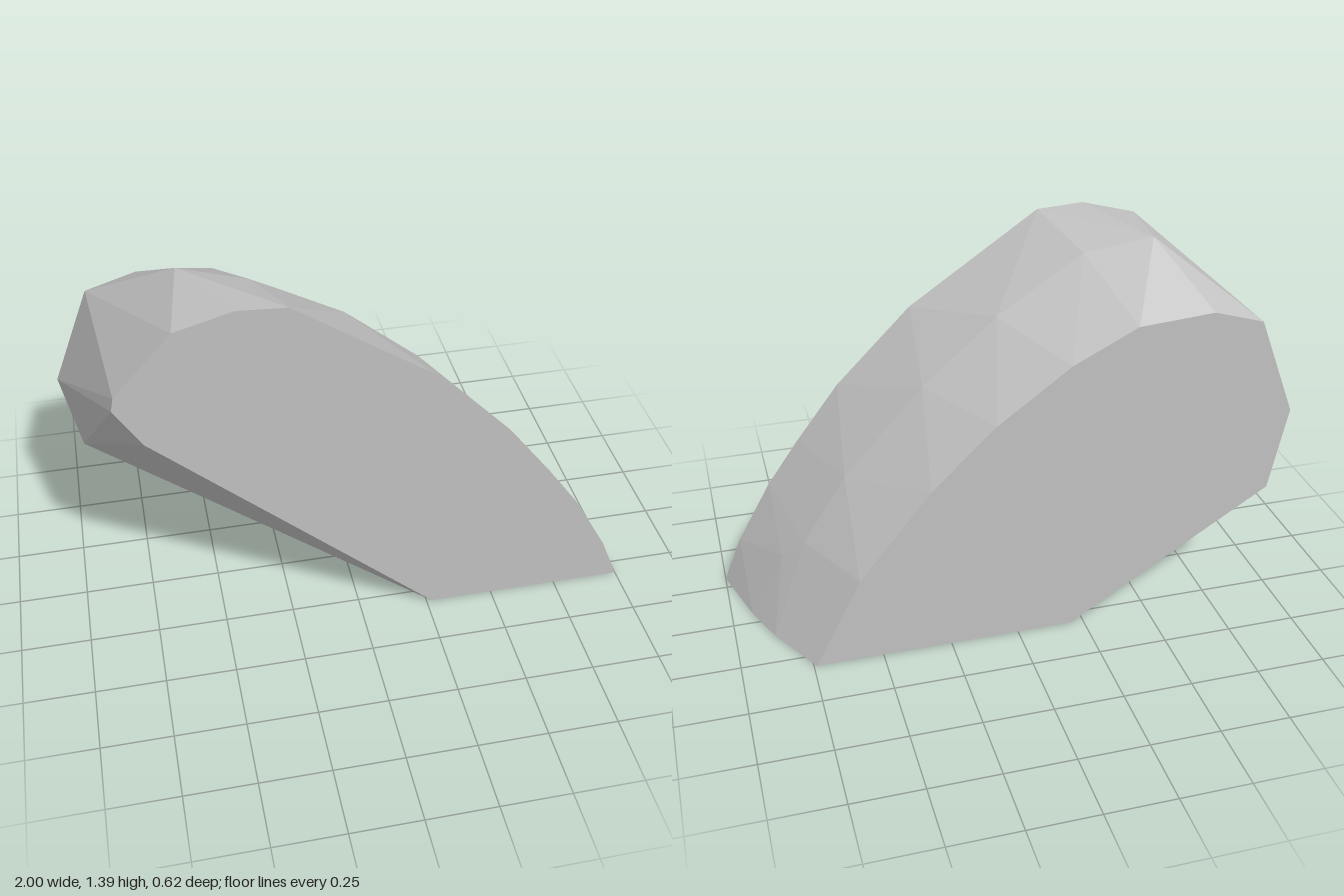
import * as THREE from 'three';
import { ConvexGeometry } from 'three/addons/geometries/ConvexGeometry.js';

export function createModel() {
  const group = new THREE.Group();
  group.name = 'rockChunk';
  const stone = new THREE.MeshStandardMaterial({ color: 0xc0c0c0 });
  stone.name = 'pale grey stone';

  // Flat front cut
  const front = [
    [0.27, 0], [1, 0], [0.93, 0.17], [0.8, 0.4], [0.68, 0.57], [0.52, 0.78], [0.24, 1.06],
    [-0.24, 1.385], [-0.41, 1.395], [-0.61, 1.34], [-0.81, 1.12], [-0.82, 1.07], [-0.73, 0.92],
  ];
  // Flat back cut
  const back = [
    [-0.2, 0], [0.74, 0], [0.57, 0.33], [0.31, 0.65], [0.08, 0.87], [-0.18, 1.06],
    [-0.41, 1.175], [-0.68, 1.195], [-0.86, 1.14], [-1, 0.78], [-0.94, 0.47],
  ];
  // Gentle bulge of the curved outer face between the cuts
  const bulge = [
    [0.86, 0, -0.1], [0.925, 0, 0.06], [0.8, 0.25, 0.04], [0.72, 0.34, -0.03], [0.56, 0.58, -0.02],
    [0.27, 0.9, -0.02], [0, 1.13, -0.01], [-0.32, 1.32, 0.02], [-0.56, 1.37, -0.02],
  ];

  const points = [
    ...front.map(([x, y]) => new THREE.Vector3(x, y, 0.31)),
    ...back.map(([x, y]) => new THREE.Vector3(x, y, -0.31)),
    ...bulge.map((p) => new THREE.Vector3(...p)),
  ];
  const rock = new THREE.Mesh(new ConvexGeometry(points), stone);
  rock.name = 'rock';
  group.add(rock);
  return group;
}
